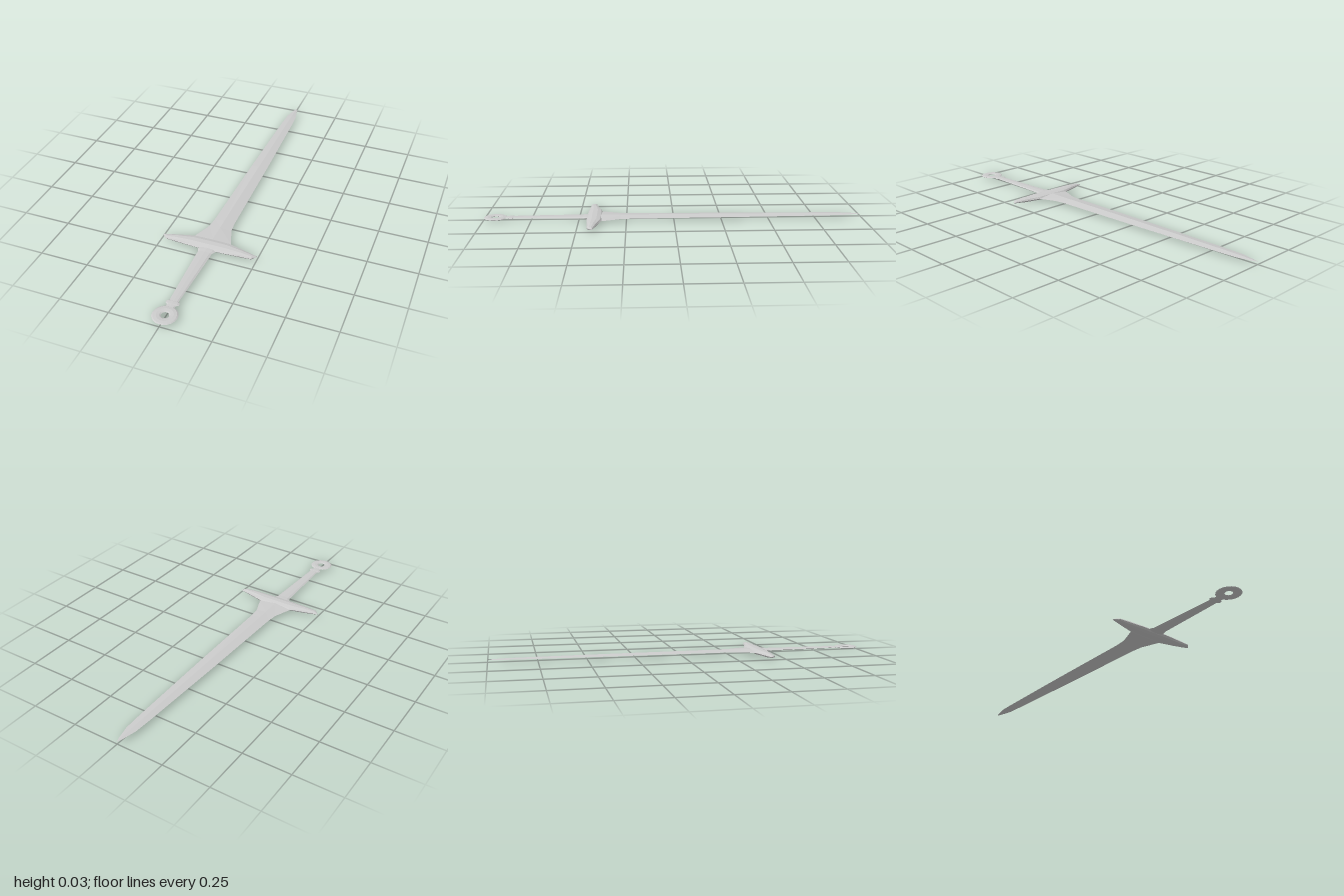
import * as THREE from 'three';

const MID = 0.0175; // height of the sword's middle plane
const material = new THREE.MeshStandardMaterial({ color: 0xcccccc, flatShading: true, side: THREE.DoubleSide });

// Skin closed cross-sections along +z; each section is [z, halfWidth, halfHeight, centreX]
function loft(sections, sides) {
  const pos = [], index = [];
  for (const [z, w, h, cx = 0] of sections) {
    for (let j = 0; j < sides; j++) {
      const a = (j / sides) * Math.PI * 2;
      pos.push(cx + Math.cos(a) * w, Math.sin(a) * h, z);
    }
  }
  for (let i = 0; i < sections.length - 1; i++) {
    for (let j = 0; j < sides; j++) {
      const k = (j + 1) % sides;
      const a = i * sides + j, b = i * sides + k;
      index.push(a, b, a + sides, b, b + sides, a + sides);
    }
  }
  const last = (sections.length - 1) * sides;
  for (let j = 1; j < sides - 1; j++) {
    index.push(0, j + 1, j, last, last + j, last + j + 1);
  }
  const geometry = new THREE.BufferGeometry();
  geometry.setAttribute('position', new THREE.Float32BufferAttribute(pos, 3));
  geometry.setIndex(index);
  const flat = geometry.toNonIndexed();
  flat.computeVertexNormals();
  return flat;
}

export function createModel() {
  const group = new THREE.Group();
  const add = (name, geometry) => {
    const mesh = new THREE.Mesh(geometry, material);
    mesh.name = name;
    mesh.position.y = MID;
    group.add(mesh);
    return mesh;
  };

  // Blade: diamond section with a central ridge, flaring at the shoulders
  add('blade', loft([
    [-1, 0.001, 0.0005], [-0.97, 0.011, 0.002], [-0.9, 0.027, 0.004], [-0.8, 0.032, 0.005],
    [-0.3, 0.045, 0.0075], [0.22, 0.054, 0.008], [0.28, 0.06, 0.008],
    [0.375, 0.096, 0.009], [0.42, 0.1, 0.009],
  ], 4));

  // Crossguard: built along z, then turned across the blade
  const half = [
    [0, 0.041, 0.0145, 0.417], [0.09, 0.039, 0.0138, 0.417], [0.17, 0.025, 0.0125, 0.425],
    [0.225, 0.0165, 0.0075, 0.4305], [0.246, 0.004, 0.0015, 0.422],
  ];
  const guard = [...half.slice(1).reverse().map(([x, w, h, z]) => [-x, w, h, -z]),
    ...half.map(([x, w, h, z]) => [x, w, h, -z])];
  add('crossguard', loft(guard, 10).rotateY(Math.PI / 2));

  // Grip: flat taper with a small flare where it meets the guard
  add('grip', loft([
    [0.44, 0.045, 0.008], [0.465, 0.044, 0.007], [0.48, 0.036, 0.006],
    [0.72, 0.027, 0.005], [0.85, 0.022, 0.004],
  ], 8));

  // Collar between grip and ring
  add('collar', loft([
    [0.841, 0.024, 0.003], [0.848, 0.033, 0.0045], [0.862, 0.033, 0.0045],
    [0.87, 0.022, 0.004], [0.89, 0.02, 0.003],
  ], 8));

  // Flattened ring pommel
  const ring = new THREE.TorusGeometry(0.04, 0.021, 8, 20).rotateX(Math.PI / 2).scale(1, 0.22, 1);
  add('pommelRing', ring).position.z = 0.938;

  return group;
}
